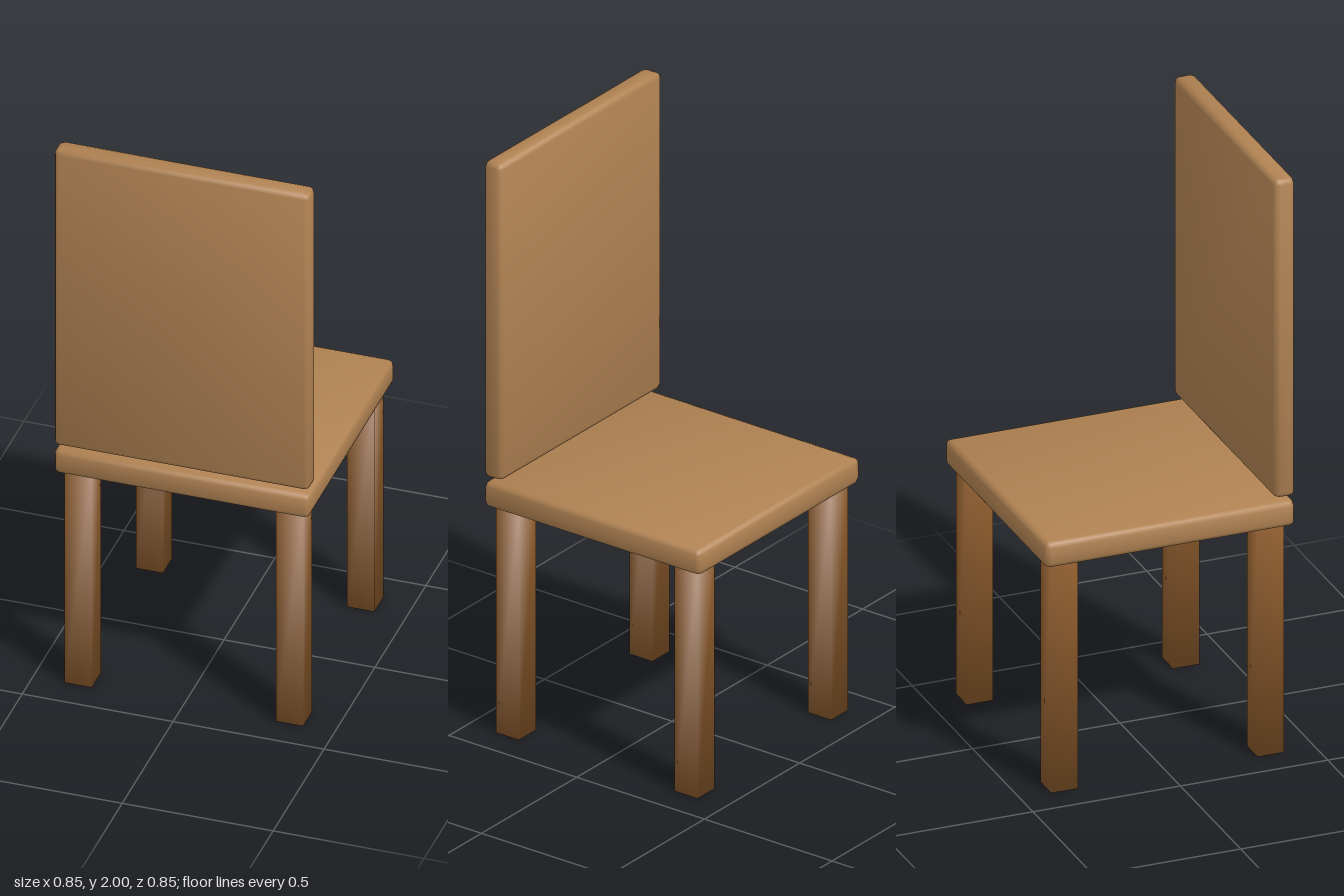
import * as THREE from 'three';

// Box with rounded edges (two bevel steps) and softly blended normals
function softBox(w, h, d, r) {
  const geo = new THREE.BoxGeometry(2, 2, 2, 3, 3, 3);
  const pos = geo.attributes.position, nor = geo.attributes.normal;
  const half = new THREE.Vector3(w / 2 - r, h / 2 - r, d / 2 - r);
  const v = new THREE.Vector3(), sign = new THREE.Vector3(), dir = new THREE.Vector3();
  const outer = (c) => (Math.abs(c) > 0.9 ? Math.sign(c) : 0);
  for (let i = 0; i < pos.count; i++) {
    v.fromBufferAttribute(pos, i);
    sign.set(Math.sign(v.x), Math.sign(v.y), Math.sign(v.z));
    dir.set(outer(v.x), outer(v.y), outer(v.z)).normalize();
    v.copy(sign).multiply(half).addScaledVector(dir, r);
    pos.setXYZ(i, v.x, v.y, v.z);
    // lean the normals of the flat faces a little towards their corners
    dir.set(dir.x || sign.x * 0.21, dir.y || sign.y * 0.21, dir.z || sign.z * 0.21).normalize();
    nor.setXYZ(i, dir.x, dir.y, dir.z);
  }
  return geo;
}

// Square post whose normals are shared at the corners
function smoothPost(w, h) {
  const geo = new THREE.BoxGeometry(w, h, w);
  const pos = geo.attributes.position, n = 1 / Math.sqrt(3);
  for (let i = 0; i < pos.count; i++) {
    geo.attributes.normal.setXYZ(i,
      Math.sign(pos.getX(i)) * n, Math.sign(pos.getY(i)) * n, Math.sign(pos.getZ(i)) * n);
  }
  return geo;
}

export function createModel() {
  const chair = new THREE.Group();
  chair.name = 'chair';
  const lightWood = new THREE.MeshStandardMaterial({ color: 0xb08252 });
  lightWood.name = 'lightWood';
  const darkWood = new THREE.MeshStandardMaterial({ color: 0x8b5a2b });
  darkWood.name = 'darkWood';

  const add = (name, geo, mat, x, y, z) => {
    const mesh = new THREE.Mesh(geo, mat);
    mesh.name = name;
    mesh.position.set(x, y, z);
    chair.add(mesh);
  };

  // Seat and the backrest floating just above its edge
  add('seat', softBox(0.846, 0.088, 0.846, 0.018), lightWood, 0, 0.836, 0);
  add('backrest', softBox(0.846, 1.104, 0.07, 0.018), lightWood, 0, 1.448, 0.388);

  // Four legs
  const leg = smoothPost(0.09, 0.8);
  for (const x of [-1, 1]) {
    for (const z of [-1, 1]) {
      add((z > 0 ? 'front' : 'back') + (x > 0 ? 'Left' : 'Right') + 'Leg', leg, darkWood, x * 0.35, 0.4, z * 0.35);
    }
  }
  return chair;
}
